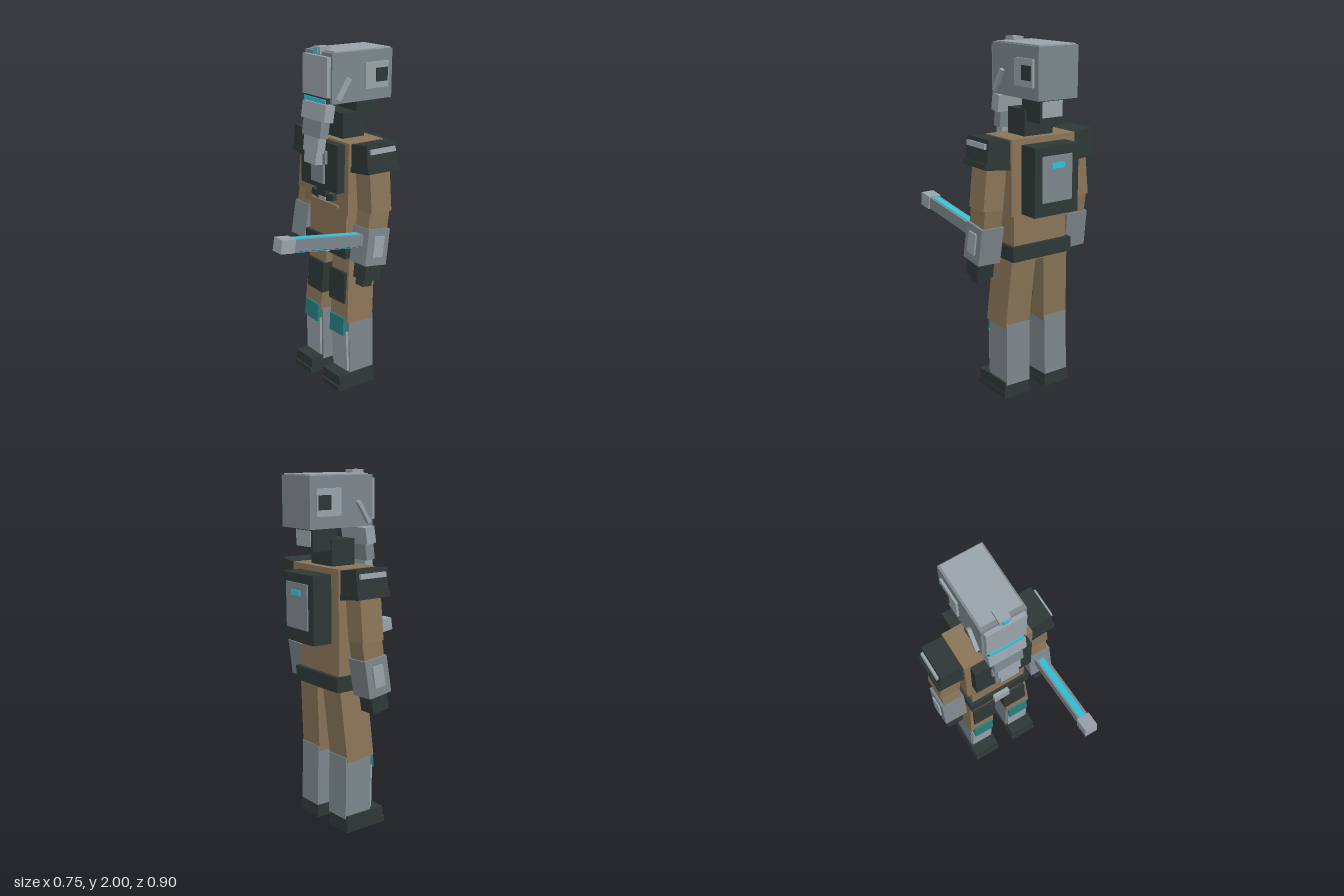
import * as THREE from 'three';

const mat = (name, color) => {
  const m = new THREE.MeshStandardMaterial({ color });
  m.name = name;
  return m;
};

export function createModel() {
  const cloth = mat('brown cloth', 0x8a7558);
  const dark = mat('dark armour', 0x2e3836);
  const steel = mat('steel grey', 0x7d878d);
  const light = mat('light grey', 0x9aa4ab);
  const glow = mat('cyan light', 0x2fc4da);
  const teal = mat('teal pad', 0x277c7f);

  const model = new THREE.Group();
  model.name = 'armouredFigure';

  // Box given by its size and centre, with optional rotation
  const box = (parent, name, m, size, pos, rot = [0, 0, 0]) => {
    const mesh = new THREE.Mesh(new THREE.BoxGeometry(...size), m);
    mesh.name = name;
    mesh.position.set(...pos);
    mesh.rotation.set(...rot);
    parent.add(mesh);
    return mesh;
  };
  const group = (parent, name, pos = [0, 0, 0], rot = [0, 0, 0]) => {
    const g = new THREE.Group();
    g.name = name;
    g.position.set(...pos);
    g.rotation.set(...rot);
    parent.add(g);
    return g;
  };

  // Head
  const head = group(model, 'head');
  box(head, 'skullBox', steel, [0.256, 0.275, 0.415], [0, 1.8375, -0.2275]);
  box(head, 'topPlate', light, [0.235, 0.008, 0.385], [0, 1.978, -0.235]);
  box(head, 'facePlate', light, [0.23, 0.22, 0.025], [0, 1.845, -0.007]);
  box(head, 'visorFrame', dark, [0.215, 0.036, 0.022], [0, 1.719, -0.01]);
  box(head, 'visorLight', glow, [0.2, 0.024, 0.008], [0, 1.713, 0.004]);
  box(head, 'crownLamp', light, [0.064, 0.04, 0.075], [0, 1.98, -0.045]);
  box(head, 'crownLight', glow, [0.03, 0.03, 0.008], [0, 1.98, -0.005]);
  for (const s of [-1, 1]) {
    box(head, 'earPlate', light, [0.02, 0.145, 0.16], [s * 0.131, 1.838, -0.32]);
    box(head, 'earSpeaker', dark, [0.012, 0.076, 0.08], [s * 0.141, 1.838, -0.35]);
    box(head, 'cheekStrut', light, [0.026, 0.14, 0.022], [s * 0.136, 1.778, -0.09], [-0.57, 0, 0]);
  }

  // Hanging breathing mask, tapering downwards
  const mask = group(model, 'mask');
  const segments = [
    [0.22, 0.095, 0.064, 1.645, -0.017, light],
    [0.172, 0.1, 0.058, 1.557, -0.003, steel],
    [0.138, 0.09, 0.053, 1.465, 0.006, light],
    [0.112, 0.075, 0.05, 1.392, 0.012, light],
  ];
  segments.forEach(([w, h, d, y, z, m], i) =>
    box(mask, 'maskSegment' + (i + 1), m, [w, h, d], [0, y, z], [-0.15 + i * 0.02, 0, 0]));

  // Neck
  box(model, 'upperNeck', dark, [0.16, 0.13, 0.16], [0, 1.64, -0.305]);
  box(model, 'neckPlate', light, [0.13, 0.085, 0.008], [0, 1.645, -0.387]);
  box(model, 'lowerNeck', dark, [0.19, 0.16, 0.15], [0, 1.555, -0.195]);

  // Torso
  const torso = group(model, 'torso');
  box(torso, 'upperTorso', cloth, [0.42, 0.415, 0.24], [0, 1.285, -0.195]);
  box(torso, 'waist', cloth, [0.35, 0.22, 0.2], [0, 0.985, -0.19]);
  box(torso, 'hips', cloth, [0.35, 0.04, 0.2], [0, 0.82, -0.19]);
  box(torso, 'belt', dark, [0.395, 0.083, 0.245], [0, 0.858, -0.193]);
  box(torso, 'buckle', light, [0.1, 0.07, 0.03], [0, 0.86, -0.06]);
  box(torso, 'chestPlate', dark, [0.35, 0.275, 0.05], [0, 1.343, -0.05]);
  box(torso, 'chestCollar', steel, [0.16, 0.075, 0.02], [0, 1.395, -0.02]);
  box(torso, 'chestPanel', steel, [0.12, 0.14, 0.018], [0, 1.31, -0.02]);
  box(torso, 'chestClip', dark, [0.08, 0.08, 0.04], [0, 1.195, -0.06]);
  box(torso, 'clipTab', light, [0.06, 0.025, 0.03], [0, 1.148, -0.06]);
  box(torso, 'chestStrap', cloth, [0.26, 0.014, 0.02], [0, 1.112, -0.068]);
  for (const s of [-1, 1])
    box(torso, 'clipWing', dark, [0.065, 0.035, 0.03], [s * 0.07, 1.155, -0.062], [0, 0, s * 0.25]);

  // Backpack
  const pack = group(model, 'backpack');
  box(pack, 'packBody', dark, [0.29, 0.375, 0.125], [0, 1.272, -0.37]);
  box(pack, 'packPanel', steel, [0.195, 0.25, 0.012], [0, 1.285, -0.435]);
  box(pack, 'packLight', glow, [0.082, 0.03, 0.008], [0, 1.357, -0.443]);

  for (const s of [-1, 1]) {
    const side = s > 0 ? 'left' : 'right';

    // Shoulder pad
    const pad = group(model, side + 'ShoulderPad', [s * 0.276, 1.418, -0.198], [0, 0, s * 0.12]);
    box(pad, 'padBody', dark, [0.148, 0.15, 0.208], [0, 0.002, 0]);
    box(pad, 'padRim', dark, [0.165, 0.03, 0.216], [0, -0.065, 0]);
    box(pad, 'padTrim', light, [0.02, 0.028, 0.17], [s * 0.078, 0.04, 0]);

    // Arm
    const arm = group(model, side + 'Arm');
    box(arm, 'upperArm', cloth, [0.125, 0.29, 0.14], [s * 0.279, 1.255, -0.197], [0, 0, s * 0.1]);
    box(arm, 'forearm', cloth, [0.115, 0.18, 0.135], [s * 0.287, 1.045, -0.185], [-0.14, 0, 0]);

    // Gauntlet and hand share the forward tilt of the forearm
    const fist = group(arm, side + 'Gauntlet', [s * 0.292, 0.917, -0.168], [-0.14, 0, s * 0.03]);
    box(fist, 'gauntletShell', steel, [0.142, 0.21, 0.15], [0, 0, 0]);
    box(fist, 'gauntletPlate', light, [0.016, 0.12, 0.07], [s * 0.073, 0.005, 0]);
    box(fist, 'hand', dark, [0.105, 0.1, 0.11], [s * 0.005, -0.148, 0]);
    if (s > 0) box(fist, 'fingers', dark, [0.065, 0.075, 0.065], [0, -0.2, 0.012]);
    else box(fist, 'fingers', dark, [0.085, 0.06, 0.06], [0, -0.165, 0.03]);

    // Leg
    const leg = group(model, side + 'Leg');
    box(leg, 'thigh', cloth, [0.16, 0.42, 0.185], [s * 0.12, 0.62, -0.184], [-0.07, 0, s * 0.06]);
    box(leg, 'thighPad', dark, [0.148, 0.188, 0.09], [s * 0.107, 0.625, -0.122], [-0.04, 0, s * 0.03]);
    box(leg, 'shin', steel, [0.156, 0.36, 0.175], [s * 0.132, 0.255, -0.185], [0.02, 0, s * 0.01]);
    box(leg, 'shinPlate', light, [0.138, 0.25, 0.02], [s * 0.134, 0.23, -0.092], [0.04, 0, s * 0.02]);
    box(leg, 'kneePad', teal, [0.13, 0.108, 0.04], [s * 0.128, 0.39, -0.082], [-0.06, 0, s * 0.02]);
    box(leg, 'boot', dark, [0.165, 0.07, 0.255], [s * 0.14, 0.06, -0.145]);
    box(leg, 'sole', dark, [0.172, 0.033, 0.268], [s * 0.14, 0.0165, -0.141]);
  }

  // Baton projecting forward from the left gauntlet
  const baton = group(model, 'baton', [0.288, 0.993, 0.13], [-0.14, 0, 0]);
  box(baton, 'batonBar', steel, [0.064, 0.066, 0.46], [0, 0, 0]);
  box(baton, 'batonTopLight', glow, [0.037, 0.008, 0.455], [-0.002, 0.031, 0.018]);
  box(baton, 'batonUnderRail', dark, [0.058, 0.006, 0.44], [0, -0.033, 0]);
  box(baton, 'batonUnderLight', glow, [0.034, 0.009, 0.45], [0, -0.039, 0.005]);
  box(baton, 'batonTip', light, [0.078, 0.076, 0.088], [0, 0, 0.275]);

  return model;
}
